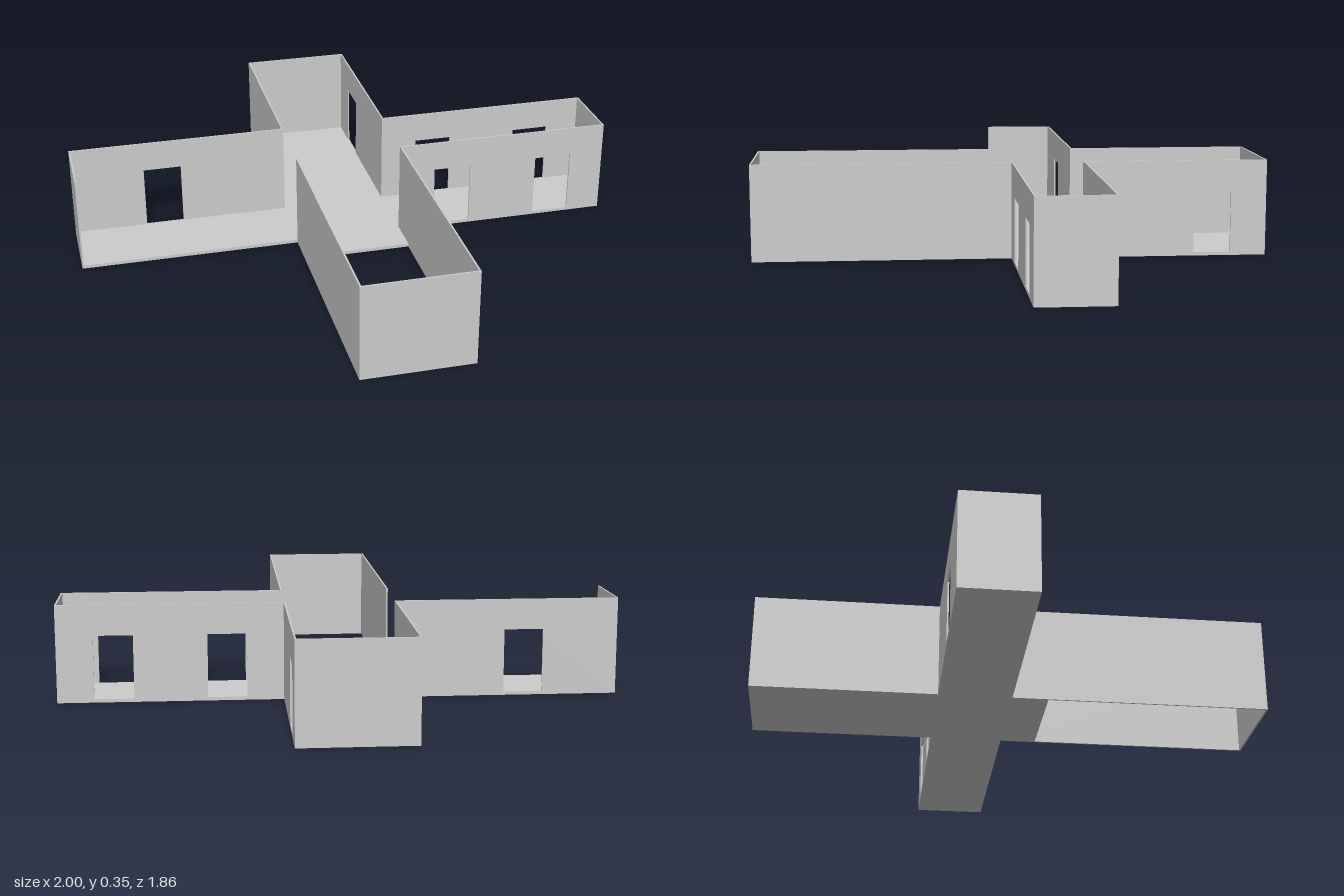
import * as THREE from 'three';

const HEIGHT = 0.35;      // wall height
const THICK = 0.006;      // wall thickness
const FLOOR = 0.012;      // floor slab thickness
const DOOR_TOP = 0.24;

const material = new THREE.MeshStandardMaterial({ color: 0xcccccc, flatShading: true });

// Straight wall along its outer line; it thickens inward. doors = [start, end] distances along it.
function wall(name, [x0, z0], [x1, z1], { doors = [], extend = 0 } = {}) {
  const length = Math.hypot(x1 - x0, z1 - z0) + extend;
  const shape = new THREE.Shape([
    new THREE.Vector2(0, 0), new THREE.Vector2(length, 0),
    new THREE.Vector2(length, HEIGHT), new THREE.Vector2(0, HEIGHT),
  ]);
  for (const [a, b] of doors) {
    shape.holes.push(new THREE.Path([
      new THREE.Vector2(a, FLOOR), new THREE.Vector2(a, DOOR_TOP),
      new THREE.Vector2(b, DOOR_TOP), new THREE.Vector2(b, FLOOR),
    ]));
  }
  const geometry = new THREE.ExtrudeGeometry(shape, { depth: THICK, bevelEnabled: false });
  const mesh = new THREE.Mesh(geometry, material);
  mesh.name = name;
  mesh.position.set(x0, 0, z0);
  mesh.rotation.y = Math.atan2(z0 - z1, x1 - x0);
  return mesh;
}

export function createModel() {
  const group = new THREE.Group();
  group.name = 'crossShapedBuilding';

  const W = 0.2, X = 1, Z = 0.93, B = -0.265, F = 0;
  const inner = { extend: THICK };               // fills the notch at inside corners
  const pair = [[0.13, 0.27], [0.53, 0.67]];

  // Outer walls, clockwise from the right wing's back wall; the right wing's front is open
  group.add(
    wall('rightWingBackWall', [-X, B], [-W, B], { doors: [[0.27, 0.41]], ...inner }),
    wall('backWingRightWall', [-W, B], [-W, -Z]),
    wall('backWingEndWall', [-W, -Z], [W, -Z]),
    wall('backWingLeftWall', [W, -Z], [W, B], { doors: [[0.13, 0.265]], ...inner }),
    wall('leftWingBackWall', [W, B], [X, B], { doors: pair }),
    wall('leftWingEndWall', [X, B], [X, F]),
    wall('leftWingFrontWall', [X, F], [W, F], { doors: pair, ...inner }),
    wall('frontWingLeftWall', [W, F], [W, Z]),
    wall('frontWingEndWall', [W, Z], [-W, Z]),
    wall('frontWingRightWall', [-W, Z], [-W, F]),
    wall('rightWingEndWall', [-X, F], [-X, B]),
  );

  // Floor slab: cross plan that stops short in the front wing
  const edge = 0.13;
  const plan = [
    [-X, B], [-W, B], [-W, -Z], [W, -Z], [W, B], [X, B],
    [X, F], [W, F], [W, edge], [-W, edge], [-W, F], [-X, F],
  ].map(([x, z]) => new THREE.Vector2(x, z));
  const floorGeometry = new THREE.ExtrudeGeometry(new THREE.Shape(plan), { depth: FLOOR, bevelEnabled: false });
  floorGeometry.rotateX(Math.PI / 2).translate(0, FLOOR, 0);
  const floor = new THREE.Mesh(floorGeometry, material);
  floor.name = 'floor';
  group.add(floor);

  return group;
}
